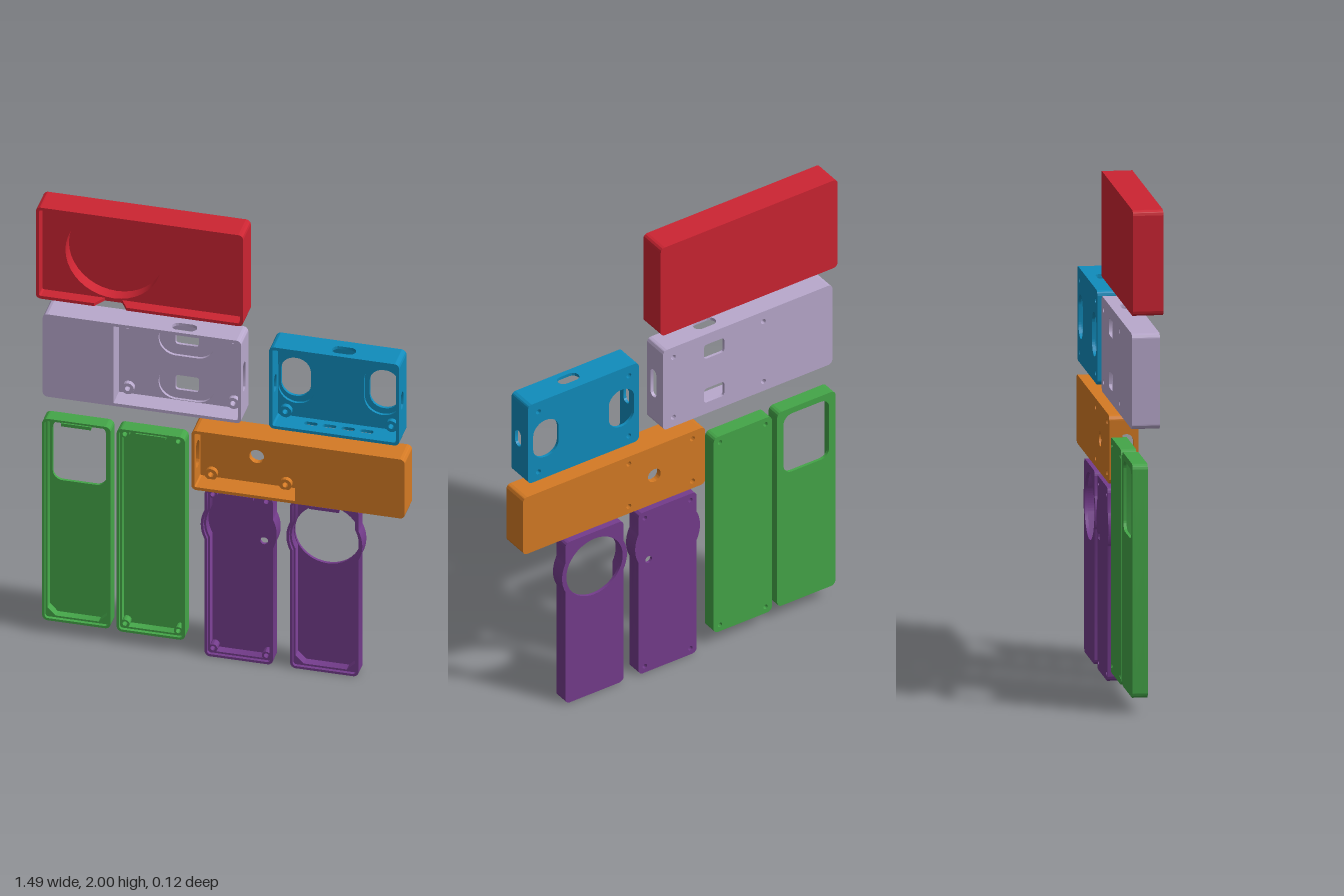
import * as THREE from 'three';
import { toCreasedNormals } from 'three/addons/utils/BufferGeometryUtils.js';

const BACK = -0.06;
const V = (x, y, z) => new THREE.Vector3(x, y, z);

// ---- 2D helpers ----
// Rounded rectangle; an optional bulge {y, r} swells both long sides along a circle.
function outline([x0, x1, y0, y1], r, inset = 0, bulge = null) {
  const a = x0 + inset, b = x1 - inset, c = y0 + inset, d = y1 - inset;
  const q = Math.max(r - inset, 0.003), s = new THREE.Shape(), h = Math.PI / 2;
  const cx = (a + b) / 2;
  const R = bulge ? bulge.r - inset : 0;
  const t = bulge ? Math.acos((b - cx) / R) : 0;
  s.moveTo(a + q, c);
  s.absarc(b - q, c + q, q, -h, 0);
  if (bulge) s.absarc(cx, bulge.y, R, -t, t);
  s.absarc(b - q, d - q, q, 0, h);
  s.absarc(a + q, d - q, q, h, 2 * h);
  if (bulge) s.absarc(cx, bulge.y, R, Math.PI - t, Math.PI + t);
  s.absarc(a + q, c + q, q, 2 * h, 3 * h);
  s.closePath();
  return s;
}
const rrect = (x0, x1, y0, y1, r) => outline([x0, x1, y0, y1], r);
const circle = (x, y, r) => new THREE.Shape().absarc(x, y, r, 0, Math.PI * 2);
function withHoles(shape, holes) {
  shape.holes.push(...holes);
  return shape;
}

// ---- 3D helpers ----
function extrude(shape, z0, z1) {
  const g = new THREE.ExtrudeGeometry(shape, { depth: z1 - z0, bevelEnabled: false, curveSegments: 20 });
  return g.translate(0, 0, z0);
}
function add(group, name, geo) {
  const m = new THREE.Mesh(toCreasedNormals(geo, 0.6), group.userData.material);
  m.name = name;
  group.add(m);
}
function part(name, color) {
  const g = new THREE.Group();
  g.name = name;
  g.userData.material = new THREE.MeshStandardMaterial({ color });
  return g;
}
function box(group, name, [x0, x1, y0, y1, z0, z1]) {
  const g = new THREE.BoxGeometry(x1 - x0, y1 - y0, z1 - z0);
  add(group, name, g.translate((x0 + x1) / 2, (y0 + y1) / 2, (z0 + z1) / 2));
}
const ring = (x, y, r, hole) => withHoles(circle(x, y, r), [circle(x, y, hole)]);

// Flat wall drawn in (run, z); slots are [a0, a1, z0, z1], notch is [a0, a1, z] open to the front.
function wall(group, a0, a1, front, t, along, pos, slots = [], notch = null) {
  const s = new THREE.Shape().moveTo(a0, BACK).lineTo(a1, BACK).lineTo(a1, front);
  if (notch) {
    s.lineTo(notch[1] + 0.03, front).lineTo(notch[1], notch[2]);
    s.lineTo(notch[0], notch[2]).lineTo(notch[0] - 0.03, front);
  }
  s.lineTo(a0, front).closePath();
  for (const [p, q, z0, z1] of slots) {
    s.holes.push(rrect(p, q, z0, z1, Math.min(q - p, z1 - z0) * 0.49));
  }
  const m = along === 'x'
    ? new THREE.Matrix4().makeBasis(V(1, 0, 0), V(0, 0, 1), V(0, -1, 0)).setPosition(0, pos, 0)
    : new THREE.Matrix4().makeBasis(V(0, 1, 0), V(0, 0, 1), V(1, 0, 0)).setPosition(pos, 0, 0);
  add(group, 'sideWall', extrude(s, 0, t).applyMatrix4(m));
}

// Deep case: four walls, rounded corners, and a floor of two layers (outer and pocketed).
function deepCase(o) {
  const g = part(o.name, o.color), t = 0.013, r = 0.02;
  const [x0, x1, y0, y1] = o.rect, F = o.front, cut = o.slots || {};
  wall(g, x0 + r, x1 - r, F, t, 'x', y1, cut.top);
  wall(g, x0 + r, x1 - r, F, t, 'x', y0 + t, cut.bottom, o.notch);
  wall(g, y0 + r, y1 - r, F, t, 'y', x0, cut.minX);
  wall(g, y0 + r, y1 - r, F, t, 'y', x1 - t, cut.maxX);
  [[x1 - r, y1 - r], [x0 + r, y1 - r], [x0 + r, y0 + r], [x1 - r, y0 + r]].forEach(([x, y], i) => {
    const a = i * Math.PI / 2, b = a + Math.PI / 2, s = new THREE.Shape();
    s.absarc(x, y, r, a, b).absarc(x, y, r - t, b, a, true).closePath();
    add(g, 'roundedCorner', extrude(s, BACK, F));
  });
  const screws = o.screws || [];
  const drill = () => screws.map(([x, y]) => circle(x, y, 0.011));
  const mid = o.mid ?? -0.048, top = o.floor ?? -0.036;
  add(g, 'backPanel', extrude(withHoles(outline(o.rect, r, t), [...drill(), ...(o.holes || [])]), BACK, mid));
  add(g, 'pocketedFloor', extrude(withHoles(outline(o.rect, r, t), [...drill(), ...(o.pockets || [])]), mid, top));
  for (const [x, y] of screws) add(g, 'screwBoss', extrude(ring(x, y, 0.025, 0.011), top, top + 0.02));
  if (o.block) box(g, 'closedCompartment', [o.block[0], o.block[1], y0 + t, y1 - t, BACK + 0.0005, F]);
  return g;
}

// Shallow shell: floor, stepped rim, corner posts or gussets, and snap clips.
function shell(o) {
  const g = part(o.name, o.color), r = 0.022, F = o.front;
  const [x0, x1, y0, y1] = o.rect, e = 0.03;
  const corners = [[x0 + e, y0 + e, 1, 1], [x1 - e, y0 + e, -1, 1], [x0 + e, y1 - e, 1, -1], [x1 - e, y1 - e, -1, -1]];
  const drill = o.screws ? corners.map(([x, y]) => circle(x, y, 0.01)) : [];
  add(g, 'floor', extrude(withHoles(outline(o.rect, r, 0, o.bulge), [...drill, ...(o.holes || [])]), BACK, -0.048));
  add(g, 'innerLedge', extrude(withHoles(outline(o.rect, r, 0, o.bulge), [outline(o.rect, r, 0.018, o.bulge)]), -0.048, F - 0.014));
  add(g, 'outerRim', extrude(withHoles(outline(o.rect, r, 0, o.bulge), [outline(o.rect, r, 0.01, o.bulge)]), F - 0.014, F));
  corners.forEach(([x, y, sx, sy], i) => {
    if (o.screws) add(g, 'screwPost', extrude(ring(x, y, 0.018, 0.01), -0.048, F - 0.014));
    else if (i < 2) {
      const cx = x - sx * 0.013, cy = y - sy * 0.013;
      const s = new THREE.Shape().moveTo(cx, cy).lineTo(cx + sx * 0.035, cy).lineTo(cx, cy + sy * 0.035).closePath();
      add(g, 'cornerGusset', extrude(s, -0.048, F - 0.014));
    }
  });
  const cx = (x0 + x1) / 2;
  if (o.topClip) box(g, 'topClip', [cx - 0.06, cx + 0.06, y1 - 0.022, y1 - 0.008, -0.03, F + 0.006]);
  return g;
}

export function createModel() {
  const model = new THREE.Group();
  model.name = 'enclosureSet';
  const grid = (xs, ys) => xs.flatMap(x => ys.map(y => [x, y]));
  const GREEN = 0x44a548, PURPLE = 0x743c8c;

  // Large cover with a round recess and a notch in its lower edge
  model.add(deepCase({
    name: 'largeCover', color: 0xcc2432, rect: [-0.745, 0.09, 1.58, 2], front: 0.06,
    mid: -0.045, floor: 0.01, pockets: [circle(-0.445, 1.79, 0.194)], notch: [-0.48, -0.41, 0.01],
  }));

  // Long case: closed compartment at one end, two windows in oval pockets
  model.add(deepCase({
    name: 'longCase', color: 0xb8a8cc, rect: [-0.72, 0.08, 1.125, 1.505], front: 0.05,
    block: [-0.707, -0.435], screws: grid([-0.395, 0.03], [1.17, 1.457]),
    holes: [rrect(-0.21, -0.115, 1.388, 1.455, 0.012), rrect(-0.21, -0.115, 1.178, 1.245, 0.012)],
    pockets: [rrect(-0.275, -0.05, 1.342, 1.49, 0.07), rrect(-0.275, -0.05, 1.14, 1.287, 0.07)],
    slots: { top: [[-0.21, -0.11, -0.02, 0.03]], maxX: [[1.25, 1.38, -0.015, 0.025]] },
  }));

  // Small case: two oval windows, vents below, cable slots
  model.add(deepCase({
    name: 'smallCase', color: 0x108cbc, rect: [0.193, 0.717, 1.125, 1.5], front: 0.053,
    screws: grid([0.24, 0.667], [1.165, 1.453]),
    holes: [rrect(0.215, 0.335, 1.225, 1.4, 0.058), rrect(0.572, 0.692, 1.225, 1.4, 0.058)],
    pockets: [rrect(0.207, 0.354, 1.2, 1.425, 0.072), rrect(0.553, 0.7, 1.2, 1.425, 0.072)],
    slots: {
      top: [[0.435, 0.53, -0.02, 0.03]],
      maxX: [[1.27, 1.345, -0.012, 0.028]], minX: [[1.27, 1.345, -0.012, 0.028]],
      bottom: [0, 1, 2, 3].map(i => [0.32 + i * 0.075, 0.375 + i * 0.075, -0.01, 0.012]),
    },
  }));

  // Narrow case: closed compartment, round cable hole and end slot
  model.add(deepCase({
    name: 'narrowCase', color: 0xd47a24, rect: [-0.12, 0.74, 0.793, 1.065], front: 0.055,
    block: [0.297, 0.727], screws: grid([-0.06, 0.24], [0.827, 1.03]),
    holes: [circle(0.12, 0.927, 0.03)], pockets: [circle(0.12, 0.927, 0.03)],
    slots: { minX: [[0.87, 0.99, -0.02, 0.035]] },
  }));

  // Pair of tall shells, one with a rounded window
  model.add(shell({
    name: 'windowShell', color: GREEN, rect: [-0.735, -0.46, 0.06, 0.99], front: 0, topClip: true,
    holes: [rrect(-0.705, -0.49, 0.685, 0.963, 0.04)],
  }));
  model.add(shell({
    name: 'windowShellBack', color: GREEN, rect: [-0.435, -0.16, 0.055, 0.99], front: 0, topClip: true, screws: true,
  }));

  // Pair of shorter shells bulging around a round opening
  const bulge = { y: 0.605, r: 0.153 };
  model.add(shell({
    name: 'roundShellBack', color: PURPLE, rect: [-0.08, 0.195, 0, 0.77], front: 0.003, topClip: true, screws: true, bulge,
    holes: [circle(0.147, 0.535, 0.016)],
  }));
  model.add(shell({
    name: 'roundShell', color: PURPLE, rect: [0.265, 0.54, 0, 0.77], front: 0.003, topClip: true, bulge,
    holes: [circle(0.4025, 0.605, 0.133)],
  }));
  model.traverse(o => { delete o.userData.material; });
  return model;
}
